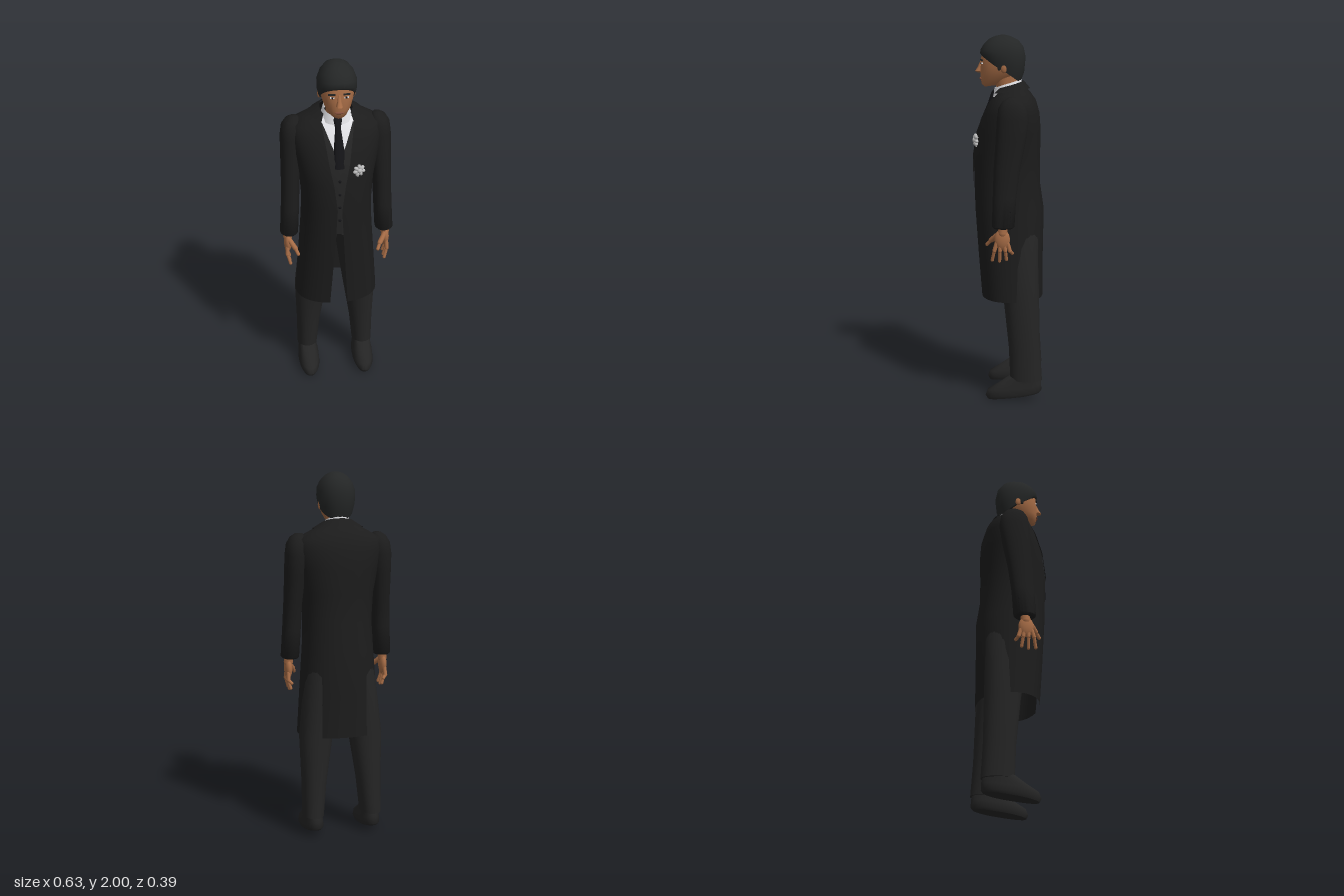
import * as THREE from 'three';
import { toCreasedNormals } from 'three/addons/utils/BufferGeometryUtils.js';

const mat = (name, color, side = THREE.FrontSide) => {
  const m = new THREE.MeshStandardMaterial({ color, side });
  m.name = name;
  return m;
};

const E = 0.9; // roundness of the cross-sections
const bend = v => Math.sign(v) * Math.abs(v) ** E;
const angleAt = r => Math.asin(Math.sign(r) * Math.min(1, Math.abs(r)) ** (1 / E));

// Skin over rings [yFront, yBack, halfWidth, zFront, zBack, centreX, from, to], listed bottom to top.
// "from" leaves a front opening of that half width; with "to" the skin is only a strip between both x values.
function loft(name, material, rings, n = 32) {
  const pos = [], idx = [], row = n + 1;
  const closed = rings[0][6] === undefined;
  for (const [yF, yB, w, zF, zB, cx = 0, from, to] of rings) {
    const a = closed ? 0 : angleAt(from / w);
    const b = to === undefined ? Math.PI * 2 - a : angleAt(to / w);
    for (let i = 0; i <= n; i++) {
      const t = a + (b - a) * i / n, c = Math.cos(t);
      pos.push(cx + w * bend(Math.sin(t)), yF + (yB - yF) * (1 - c) / 2,
        (zF + zB) / 2 + (zF - zB) / 2 * bend(c));
    }
  }
  for (let j = 0; j < rings.length - 1; j++) {
    for (let i = 0; i < n; i++) {
      const p = j * row + i, q = p + row;
      idx.push(p, p + 1, q + 1, p, q + 1, q);
    }
  }
  if (closed) {
    [0, rings.length - 1].forEach(j => {
      const [yF, yB, , zF, zB, cx = 0] = rings[j], c = pos.length / 3;
      pos.push(cx, (yF + yB) / 2, (zF + zB) / 2);
      for (let i = 0; i < n; i++) {
        const p = j * row + i;
        if (j) idx.push(c, p, p + 1); else idx.push(c, p + 1, p);
      }
    });
  }
  const g = new THREE.BufferGeometry();
  g.setAttribute('position', new THREE.Float32BufferAttribute(pos, 3));
  g.setIndex(idx);
  const mesh = new THREE.Mesh(toCreasedNormals(g, 0.9), material);
  mesh.name = name;
  return mesh;
}

function ball(name, material, [x, y, z], [sx, sy, sz]) {
  const m = new THREE.Mesh(new THREE.SphereGeometry(1, 16, 12), material);
  m.name = name;
  m.position.set(x, y, z);
  m.scale.set(sx, sy, sz);
  return m;
}

// Rounded stick between two points
function stick(name, material, from, to, r) {
  const a = new THREE.Vector3(...from), b = new THREE.Vector3(...to), d = b.clone().sub(a);
  const m = new THREE.Mesh(new THREE.CapsuleGeometry(r, d.length(), 4, 10), material);
  m.name = name;
  m.position.copy(a).add(b).multiplyScalar(0.5);
  m.quaternion.setFromUnitVectors(new THREE.Vector3(0, 1, 0), d.normalize());
  return m;
}

function plate(name, material, [x, y, z], [w, h], turn = 0, tilt = 0) {
  const m = new THREE.Mesh(new THREE.BoxGeometry(w, h, 0.008), material);
  m.name = name;
  m.position.set(x, y, z);
  m.rotation.set(0, turn, tilt);
  return m;
}

export function createModel() {
  const model = new THREE.Group();
  model.name = 'manInLongCoat';
  const coat = mat('coat black', 0x1c1c1c, THREE.DoubleSide);
  const suit = mat('suit charcoal', 0x242424, THREE.DoubleSide);
  const hair = mat('hair', 0x242626);
  const skin = mat('skin', 0xa66c46);
  const lips = mat('lips', 0x84503c);
  const white = mat('shirt white', 0xe6e6ea, THREE.DoubleSide);
  const tieBlack = mat('tie black', 0x141417);
  const silver = mat('flower grey', 0xbcbcbc);

  // Long coat, open at the front
  const coatRings = [
    [0.565, 0.565, 0.232, 0.15, -0.19, 0, 0.05],
    [0.80, 0.80, 0.215, 0.168, -0.19, 0, 0.035],
    [1.05, 1.05, 0.196, 0.185, -0.194, 0, 0.02],
    [1.20, 1.20, 0.19, 0.19, -0.172, 0, 0.012],
    [1.35, 1.35, 0.20, 0.192, -0.172, 0, 0.03],
    [1.48, 1.48, 0.225, 0.173, -0.175, 0, 0.055],
    [1.58, 1.58, 0.243, 0.135, -0.168, 0, 0.07],
    [1.64, 1.65, 0.235, 0.105, -0.148, 0, 0.08],
    [1.67, 1.69, 0.17, 0.085, -0.12, 0, 0.085],
    [1.69, 1.74, 0.095, 0.075, -0.075, 0, 0.075],
  ];
  model.add(loft('coat', coat, coatRings, 56));
  model.add(loft('coatCollar', coat, [
    [1.685, 1.715, 0.14, 0.095, -0.115, 0, 0.085],
    [1.705, 1.755, 0.085, 0.082, -0.082, 0, 0.07],
  ]));

  // Strip lying above or below the coat surface, for rows from "start"
  const layer = (name, material, dz, start, spans) => loft(name, material, spans.map(([from, to], i) => {
    const [yF, yB, w, zF, zB] = coatRings[start + i];
    return [yF, yB, w, zF + dz, zB, 0, from, to];
  }), 12);

  // Shirt front and collar
  model.add(layer('shirtFront', white, -0.014, 5,
    [[-0.1, 0.1], [-0.1, 0.1], [-0.1, 0.1], [-0.1, 0.1], [-0.09, 0.09]]));
  model.add(loft('shirtCollar', white, [
    [1.665, 1.70, 0.084, 0.088, -0.072, 0, 0.012],
    [1.715, 1.765, 0.066, 0.08, -0.068, 0, 0.02],
  ]));

  // Tie with knot
  model.add(loft('tie', tieBlack, [
    [1.45, 1.45, 0.028, 0.178, 0.15],
    [1.54, 1.54, 0.028, 0.155, 0.125],
    [1.64, 1.64, 0.016, 0.112, 0.08],
    [1.655, 1.655, 0.016, 0.108, 0.07],
    [1.695, 1.695, 0.024, 0.094, 0.06],
    [1.705, 1.705, 0.018, 0.085, 0.06],
  ], 12));

  // Waistcoat buttons
  for (let i = 0; i < 4; i++) {
    const y = 1.14 + i * 0.08;
    model.add(ball('waistcoatButton', tieBlack, [0, y, 0.183], [0.008, 0.008, 0.005]));
  }

  // Lapel flower
  const flower = new THREE.Group();
  flower.name = 'lapelFlower';
  flower.position.set(0.1, 1.44, 0.174);
  flower.rotation.y = 0.3;
  flower.add(ball('flowerHeart', silver, [0, 0, 0.008], [0.014, 0.014, 0.014]));
  for (let i = 0; i < 7; i++) {
    const a = i / 7 * Math.PI * 2;
    const petal = ball('petal', silver, [-Math.sin(a) * 0.02, Math.cos(a) * 0.02, 0.004], [0.01, 0.015, 0.011]);
    petal.rotation.z = a;
    flower.add(petal);
  }
  flower.add(stick('flowerStem', silver, [0, -0.02, 0], [-0.005, -0.036, 0], 0.004));
  model.add(flower);

  // Head and neck
  model.add(loft('neck', skin, [
    [1.66, 1.66, 0.055, 0.06, -0.055],
    [1.73, 1.75, 0.055, 0.07, -0.05],
    [1.80, 1.80, 0.06, 0.09, -0.05],
  ]));
  model.add(loft('head', skin, [
    [1.722, 1.735, 0.024, 0.13, 0.04],
    [1.735, 1.755, 0.046, 0.147, 0.01],
    [1.775, 1.78, 0.07, 0.155, -0.04],
    [1.825, 1.825, 0.085, 0.154, -0.068],
    [1.88, 1.88, 0.092, 0.15, -0.078],
    [1.93, 1.93, 0.085, 0.132, -0.075],
  ]));
  model.add(loft('hair', hair, [
    [1.892, 1.745, 0.094, 0.149, -0.062],
    [1.902, 1.80, 0.102, 0.157, -0.083],
    [1.925, 1.88, 0.103, 0.152, -0.091],
    [1.955, 1.935, 0.087, 0.133, -0.08],
    [1.98, 1.972, 0.062, 0.105, -0.052],
    [1.995, 1.993, 0.034, 0.072, -0.01],
    [2.0, 2.0, 0.01, 0.045, 0.02],
  ]));
  model.add(loft('nose', skin, [
    [1.797, 1.797, 0.012, 0.166, 0.13],
    [1.806, 1.806, 0.018, 0.184, 0.13],
    [1.83, 1.83, 0.011, 0.169, 0.13],
    [1.865, 1.865, 0.008, 0.154, 0.13],
  ], 12));
  model.add(ball('mouth', lips, [0, 1.766, 0.152], [0.026, 0.007, 0.008]));

  // Everything that comes in pairs
  for (const side of [1, -1]) {
    const half = new THREE.Group();
    half.name = side > 0 ? 'leftSide' : 'rightSide';
    half.scale.x = side;

    half.add(plate('eyeWhite', white, [0.036, 1.848, 0.145], [0.022, 0.007], 0.25));
    half.add(plate('iris', tieBlack, [0.035, 1.848, 0.147], [0.009, 0.008], 0.25));
    half.add(plate('eyebrow', hair, [0.038, 1.866, 0.146], [0.036, 0.007], 0.28, -0.08));
    half.add(ball('ear', skin, [0.09, 1.825, 0.025], [0.011, 0.028, 0.018]));
    half.add(stick('sideburn', hair, [0.086, 1.86, 0.055], [0.084, 1.82, 0.05], 0.009));

    half.add(layer('waistcoat', suit, -0.007, 2, [[0, 0.12], [0, 0.12], [0, 0.12],
      [0.0, 0.13], [0.042, 0.13], [0.066, 0.13], [0.08, 0.13]]));
    half.add(layer('lapel', coat, 0.006, 3, [[0.012, 0.016], [0.03, 0.07],
      [0.055, 0.115], [0.07, 0.135], [0.08, 0.13], [0.085, 0.115]]));

    // Sleeve
    half.add(loft('sleeve', coat, [
      [0.985, 0.985, 0.04, 0.075, -0.025, 0.263],
      [0.995, 0.995, 0.05, 0.085, -0.036, 0.264],
      [1.15, 1.15, 0.05, 0.08, -0.045, 0.255],
      [1.30, 1.30, 0.05, 0.075, -0.065, 0.249],
      [1.45, 1.45, 0.056, 0.065, -0.095, 0.241],
      [1.56, 1.56, 0.06, 0.058, -0.11, 0.236],
      [1.62, 1.62, 0.056, 0.05, -0.1, 0.232],
      [1.655, 1.655, 0.042, 0.03, -0.075, 0.226],
      [1.675, 1.675, 0.02, 0, -0.045, 0.22],
    ], 24));
    for (let i = 0; i < 3; i++) {
      half.add(ball('cuffButton', tieBlack, [0.298, 1.03 + i * 0.025, -0.012], [0.006, 0.006, 0.006]));
    }

    // Hand
    half.add(stick('wrist', skin, [0.268, 1.01, 0.025], [0.272, 0.96, 0.028], 0.026));
    half.add(ball('palm', skin, [0.273, 0.925, 0.03], [0.022, 0.058, 0.042]));
    [[0.06, 0.083, 0.812], [0.04, 0.044, 0.806], [0.019, 0.007, 0.815], [0, -0.024, 0.85]].forEach(([z, tipZ, tipY]) => {
      half.add(stick('finger', skin, [0.277, 0.905, z], [0.279, 0.865, (z + tipZ) / 2], 0.011));
      half.add(stick('fingertip', skin, [0.279, 0.865, (z + tipZ) / 2], [0.264, tipY, tipZ], 0.009));
    });
    half.add(stick('thumb', skin, [0.265, 0.95, 0.055], [0.236, 0.915, 0.09], 0.014));
    half.add(stick('thumbTip', skin, [0.236, 0.915, 0.09], [0.222, 0.89, 0.112], 0.01));

    // Trouser leg
    half.add(loft('trouserLeg', suit, [
      [0.115, 0.11, 0.058, -0.012, -0.188, 0.166],
      [0.30, 0.30, 0.068, -0.003, -0.176, 0.157],
      [0.56, 0.56, 0.092, 0.025, -0.17, 0.141],
      [0.75, 0.75, 0.097, 0.06, -0.165, 0.118],
      [0.90, 0.90, 0.1, 0.11, -0.165, 0.1],
      [1.0, 1.0, 0.1, 0.14, -0.15, 0.085],
    ], 24));

    // Shoe
    half.add(loft('shoe', suit, [
      [0.0, 0.038, 0.054, 0.115, -0.175, 0.163],
      [0.02, 0.05, 0.062, 0.126, -0.185, 0.163],
      [0.052, 0.085, 0.059, 0.114, -0.184, 0.163],
      [0.085, 0.11, 0.053, 0.06, -0.18, 0.164],
      [0.13, 0.13, 0.05, -0.005, -0.172, 0.165],
    ], 28));
    model.add(half);
  }
  return model;
}
